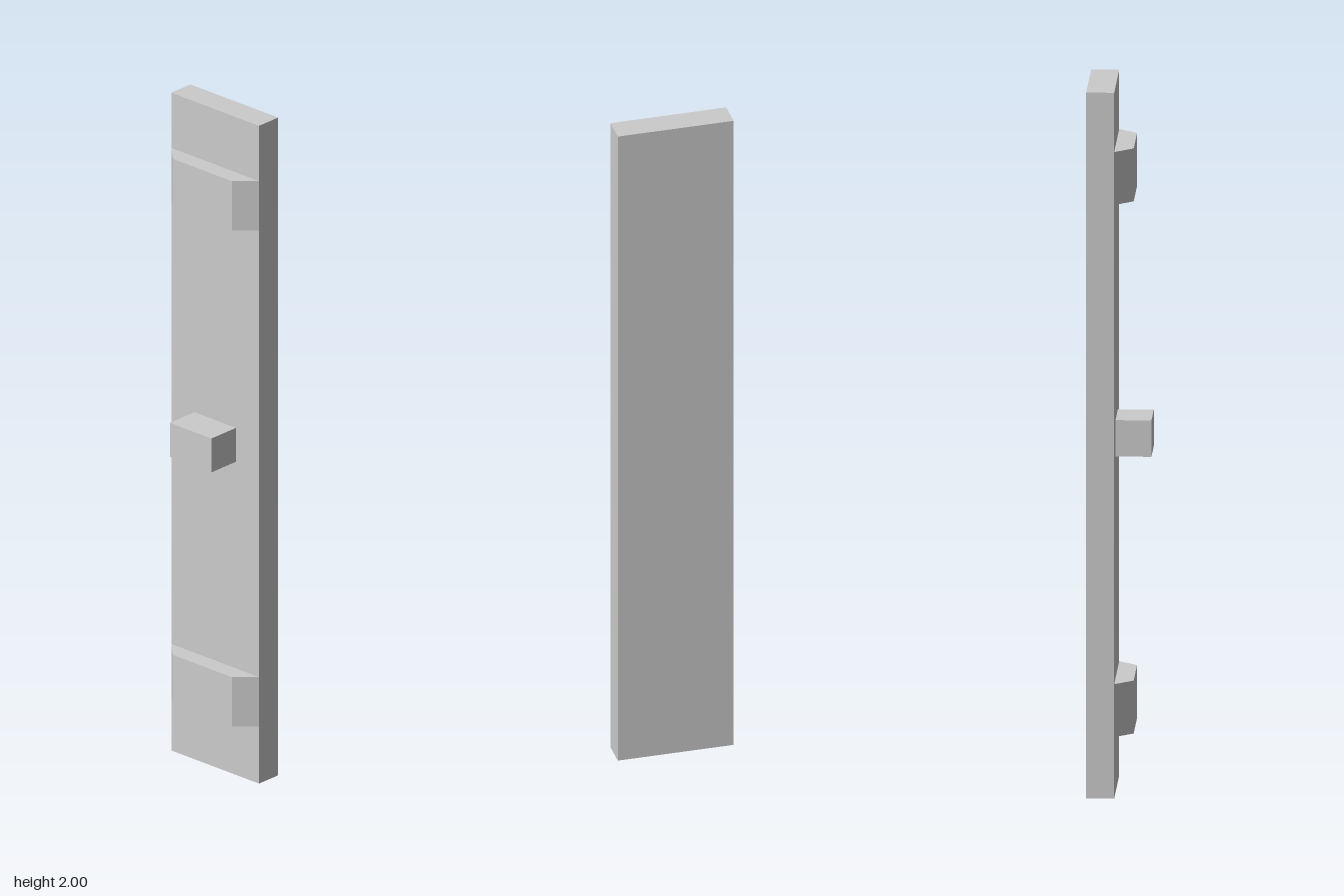
import * as THREE from 'three';

const HALF_W = 0.167;
const BACK = -0.089;
const FACE = -0.011; // front surface of the board

export function createModel() {
  const group = new THREE.Group();
  const material = new THREE.MeshStandardMaterial({ color: 0xcccccc, flatShading: true });

  const add = (name, geometry) => {
    const mesh = new THREE.Mesh(geometry, material);
    mesh.name = name;
    group.add(mesh);
  };

  // Box given by its limits, centred on x = 0
  const box = (halfW, y0, y1, z0, z1) =>
    new THREE.BoxGeometry(halfW * 2, y1 - y0, z1 - z0)
      .translate(0, (y0 + y1) / 2, (z0 + z1) / 2);

  // Tall flat board
  add('board', box(HALF_W, 0, 2, BACK, FACE));

  // Block in the middle of the front
  add('centreBlock', box(0.079, 0.952, 1.055, FACE, 0.089));

  // Cross battens with slanted ends, drawn in plan and extruded in height
  const plan = new THREE.Shape([
    new THREE.Vector2(-HALF_W, FACE),
    new THREE.Vector2(HALF_W, FACE),
    new THREE.Vector2(0.112, 0.041),
    new THREE.Vector2(-0.112, 0.041),
  ]);
  const height = 0.15;
  for (const [name, top] of [['lowerBatten', 0.324], ['upperBatten', 1.832]]) {
    add(name, new THREE.ExtrudeGeometry(plan, { depth: height, bevelEnabled: false })
      .rotateX(Math.PI / 2)
      .translate(0, top, 0));
  }

  return group;
}
